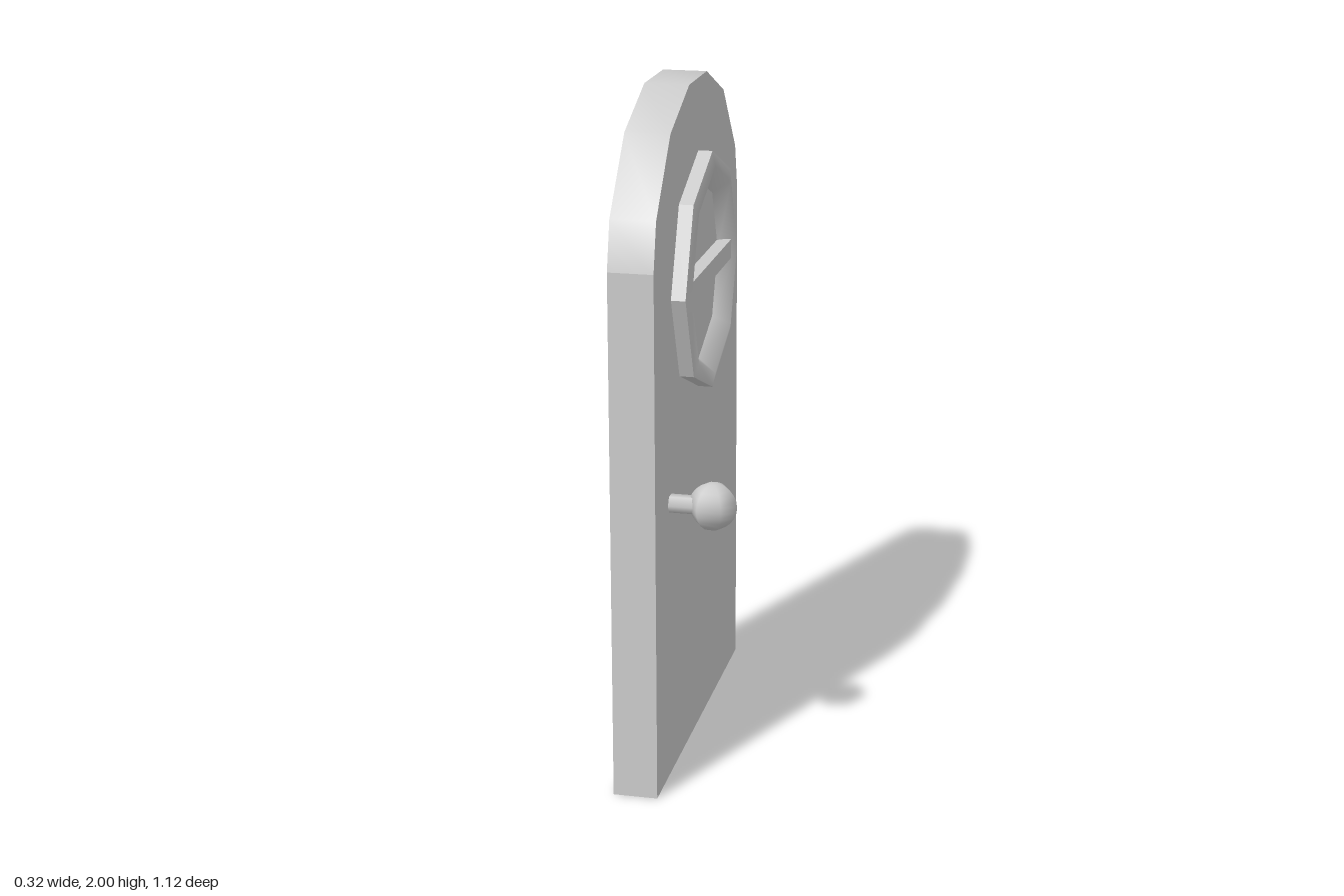
import * as THREE from 'three';

const grey = new THREE.MeshStandardMaterial({ color: 0xcccccc, side: THREE.DoubleSide });
const flatGrey = new THREE.MeshStandardMaterial({ color: 0xcccccc, side: THREE.DoubleSide, flatShading: true });

const FACE_X = -0.035; // front face of the door panel
const DEPTH = 0.13;    // depth of the rim behind the panel
const BACK_LIP = 0.008; // how far fittings poke through the panel

function addPart(parent, name, geometry, material = grey) {
  const mesh = new THREE.Mesh(geometry, material);
  mesh.name = name;
  parent.add(mesh);
  return mesh;
}

// Band running along a counter-clockwise outline, going back from the panel
function rimStrip(points) {
  const positions = [], index = [];
  points.forEach(([u, y], i) => {
    positions.push(u, y, -DEPTH, u, y, 0);
    if (i < points.length - 1) {
      const a = i * 2;
      index.push(a, a + 2, a + 3, a, a + 3, a + 1);
    }
  });
  const geometry = new THREE.BufferGeometry();
  geometry.setAttribute('position', new THREE.Float32BufferAttribute(positions, 3));
  geometry.setIndex(index);
  geometry.computeVertexNormals();
  return geometry.rotateY(Math.PI / 2);
}

function createDoor() {
  const door = new THREE.Group();
  door.name = 'door';
  door.position.x = FACE_X;

  const halfArch = [[0.558, 1.56], [0.525, 1.7], [0.35, 1.905], [0.115, 2]];
  const arch = [...halfArch, ...halfArch.map(([u, y]) => [-u, y]).reverse()];
  const bottom = [[-0.558, 0], [0.558, 0]];
  const outline = [...bottom, ...arch].map(([u, y]) => new THREE.Vector2(u, y));

  addPart(door, 'doorPanel', new THREE.ShapeGeometry(new THREE.Shape(outline)).rotateY(Math.PI / 2));
  addPart(door, 'archRim', rimStrip(arch));
  addPart(door, 'bottomRim', rimStrip(bottom));
  addPart(door, 'frontSideRim', rimStrip([arch[arch.length - 1], bottom[0]]));
  addPart(door, 'backSideRim', rimStrip([bottom[1], arch[0]]));
  return door;
}

function createWindow() {
  const frame = new THREE.Group();
  frame.name = 'window';
  frame.position.set(FACE_X, 1.435, 0);

  // Octagonal outer wall with crisp facets
  const wallDepth = 0.042 + BACK_LIP;
  const wall = new THREE.CylinderGeometry(0.355, 0.355, wallDepth, 8, 1, true)
    .translate(0, wallDepth / 2 - BACK_LIP, 0)
    .rotateZ(-Math.PI / 2);
  addPart(frame, 'windowFrameWall', wall, flatGrey);

  // Softly shaded front moulding sloping in to the pane
  const profile = [[0.355, 0.042], [0.312, 0.051], [0.268, 0]].map(([r, d]) => new THREE.Vector2(r, d));
  addPart(frame, 'windowFrameFace', new THREE.LatheGeometry(profile, 8).rotateZ(-Math.PI / 2));

  // Crossbar
  addPart(frame, 'windowBar', new THREE.BoxGeometry(0.04, 0.058, 0.555)).position.x = 0.02;
  return frame;
}

function createKnob() {
  const knob = new THREE.Group();
  knob.name = 'doorKnob';
  knob.position.set(FACE_X, 0.843, 0.375);

  const stemLength = 0.09 + BACK_LIP;
  const stem = new THREE.CylinderGeometry(0.03, 0.03, stemLength, 6, 1, true)
    .rotateZ(-Math.PI / 2)
    .translate(stemLength / 2 - BACK_LIP, 0, 0);
  addPart(knob, 'knobStem', stem).scale.y = 0.9;

  addPart(knob, 'knobBall', new THREE.SphereGeometry(0.07, 6, 12)).position.x = 0.125;
  return knob;
}

export function createModel() {
  const model = new THREE.Group();
  model.name = 'archedDoor';
  model.add(createDoor(), createWindow(), createKnob());
  return model;
}
